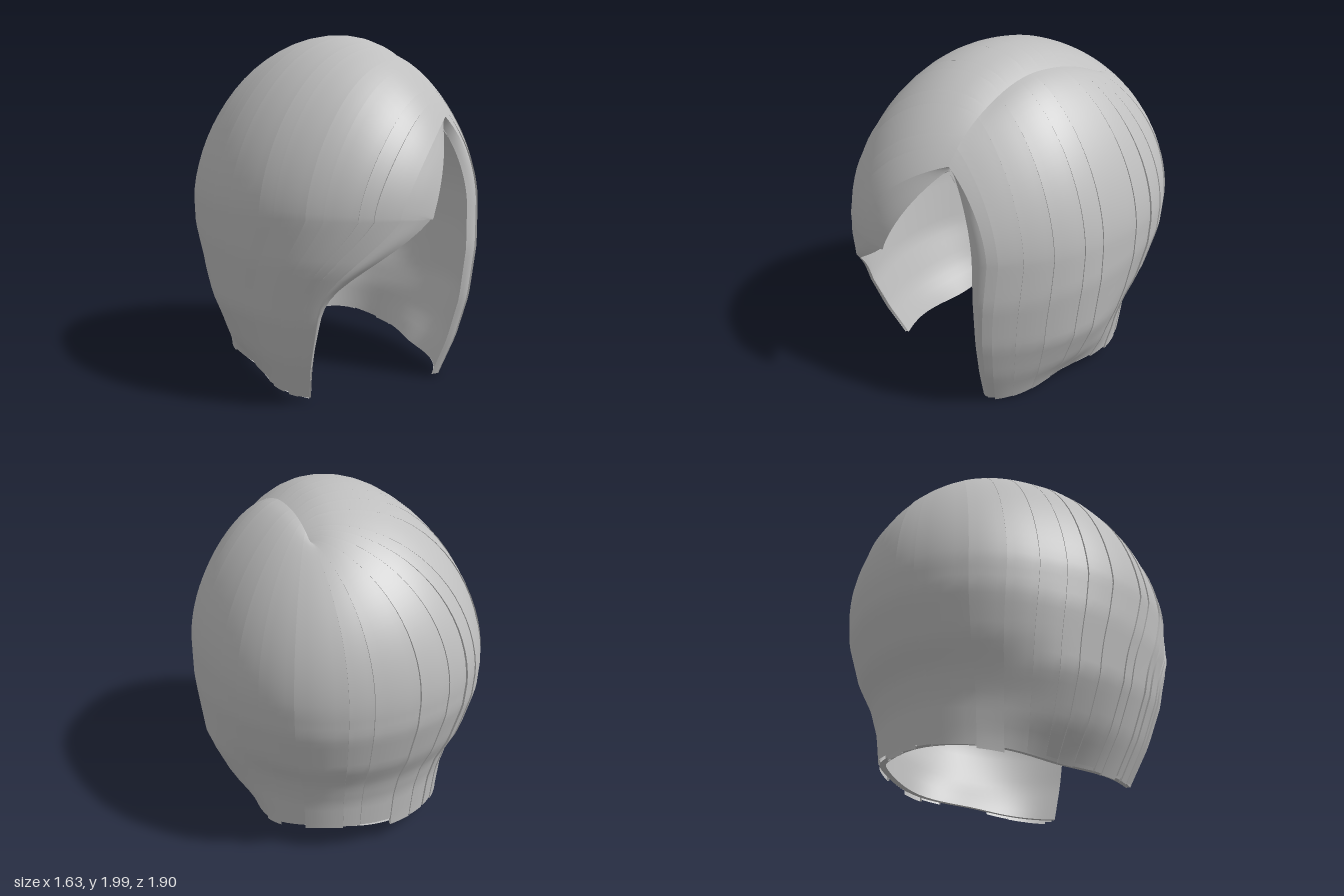
import * as THREE from 'three';

// Guide strands round the head: [root z on the parting, angle at the widest height, angle at the tip]
// The first and last guides are the turned-in edges of the face opening.
const GUIDES = [
  [0.64, 43, 43], [0.64, 49, 46], [0.43, 62, 59], [0.2, 80, 78], [0, 97, 97], [-0.2, 116, 116],
  [-0.33, 138, 138], [-0.4, 160, 160], [-0.4, 184, 183], [-0.36, 208, 206], [-0.3, 230, 230],
  [-0.2, 252, 250], [-0.06, 270, 267], [0.1, 288, 281], [0.25, 305, 292], [0.4, 322, 303],
  [0.54, 338, 310], [0.64, 351.4, 315], [0.64, 365, 314],
];
const LAST = GUIDES.length - 1;
const guideCurve = new THREE.CatmullRomCurve3(
  GUIDES.map((g) => new THREE.Vector3(...g)), false, 'catmullrom', 0.5);

const WAIST = 1.05; // height of the widest ring
// Ring size by height below the waist: [y, scale]
const FRONT = [[1.05, 1], [0.8, 1], [0.5, 0.955], [0.25, 0.87], [0.03, 0.76], [-0.1, 0.7]];
const SIDE = [[1.05, 1], [0.85, 1], [0.5, 0.945], [0.25, 0.81], [0.1, 0.68], [-0.1, 0.55]];
const BACK = [[1.05, 1], [0.9, 0.99], [0.65, 0.915], [0.5, 0.835], [0.35, 0.79], [0.15, 0.765], [-0.1, 0.75]];
const { lerp, clamp, smoothstep, degToRad } = THREE.MathUtils;

function lookup(table, y) {
  for (let i = 1; i < table.length; i++) {
    const [y0, r0] = table[i - 1], [y1, r1] = table[i];
    if (y >= y1) return lerp(r0, r1, (y0 - y) / (y0 - y1));
  }
  return table[table.length - 1][1];
}

// Plan outline: an ellipse, fuller at the back and flatter beside the face
function fullness(a) {
  const k = 0.05 * Math.sin(2 * a) ** 2;
  if (Math.cos(a) < 0) return 1 + k;
  return Math.sin(a) > 0 ? 1 - k : 1;
}
function ring(a, r) {
  const k = fullness(a) * r;
  return [0.81 * k * Math.sin(a), 0.95 * k * Math.cos(a)];
}

// Crown height over a plan position, fullest at the back
function crownHeight(x, z) {
  const a = Math.atan2(x / 0.81, z / 0.95);
  const rho = Math.hypot(x / 0.81, z / 0.95) / fullness(a);
  const power = lerp(x > 0 ? 0.57 : 0.63, z > 0 ? 0.57 : 0.49, Math.cos(a) ** 2);
  return WAIST + 0.95 * Math.max(0, 1 - rho * rho) ** power;
}

// Point on the hair: u runs round the head, v from parting to tip, k scales in or out
function hairPoint(u, v, k = 1, trim = 0) {
  const g = guideCurve.getPoint(clamp(u / LAST, 0, 1));
  const waistAngle = degToRad(g.y), tipAngle = degToRad(g.z);
  let x, y, z;
  if (v < 0.5) {
    const s = Math.sin(v * Math.PI);
    const rootX = 0.28 + 0.13 * g.x * g.x;
    const [ex, ez] = ring(waistAngle, 1);
    const bow = 1 + 0.75 * smoothstep(g.y, 300, 355); // the fringe swings forward first
    x = lerp(rootX, ex, s);
    z = lerp(g.x, ez, 1 - (1 - s) ** bow);
    const groove = 0.025 * (1 - smoothstep(g.x, 0.3, 0.64));
    y = crownHeight(x, z) - groove * Math.exp(-Math.hypot(x - rootX, z - g.x) / 0.06);
  } else {
    const nape = 0.05 * Math.exp(-(((g.z - 148) / 22) ** 2));
    const tip = Math.max(0, 0.075 - 0.07 * Math.cos(tipAngle) + nape + trim);
    y = lerp(WAIST, tip, (v - 0.5) * 2);
    const t = clamp((WAIST - y) / 0.5, 0, 1);
    const sweep = 0.8 * (t + t * t - t ** 3) + 0.2 * clamp(1 - y / 0.6, 0, 1);
    const a = lerp(waistAngle, tipAngle, sweep);
    const ends = lookup(Math.cos(a) > 0 ? FRONT : BACK, y);
    [x, z] = ring(a, lerp(lookup(SIDE, y), ends, smoothstep(Math.abs(Math.cos(a)), 0, 0.65)));
  }
  const top = y > 0.8 ? 0.8 + (y - 0.8) * Math.min(k, 1) : y;
  return new THREE.Vector3(x * k, top, z * k);
}

// Lining surface, lying closer to the outside under the fringe
function innerPoint(u, v) {
  return hairPoint(u, v, lerp(0.95, 0.975, smoothstep(u, LAST - 3, LAST)));
}

// Smooth sheet from a rule f(s, t)
function sheet(f, cols, rows) {
  const pos = [], index = [];
  for (let j = 0; j <= rows; j++) {
    for (let i = 0; i <= cols; i++) pos.push(...f(i / cols, j / rows).toArray());
  }
  for (let j = 0; j < rows; j++) {
    for (let i = 0; i < cols; i++) {
      const a = j * (cols + 1) + i, c = a + cols + 1;
      index.push(a, c, a + 1, a + 1, c, c + 1);
    }
  }
  const geo = new THREE.BufferGeometry();
  geo.setAttribute('position', new THREE.Float32BufferAttribute(pos, 3));
  geo.setIndex(index);
  geo.computeVertexNormals();
  return geo;
}

function seeded(seed) {
  return () => (seed = (seed * 16807) % 2147483647) / 2147483647;
}

export function createModel() {
  const model = new THREE.Group();
  model.name = 'bobHair';
  const hair = new THREE.MeshStandardMaterial({ color: 0xbfbfbf, side: THREE.DoubleSide });
  hair.name = 'hairGrey';
  const add = (name, geo, parent = model) => {
    const mesh = new THREE.Mesh(geo, hair);
    mesh.name = name;
    parent.add(mesh);
  };

  // Overlapping locks, each raised along its leading edge
  const locks = new THREE.Group();
  locks.name = 'locks';
  model.add(locks);
  const rand = seeded(77);
  const COUNT = 28, first = 1, end = LAST - 1;
  const cuts = [];
  for (let i = 0; i <= COUNT; i++) {
    const jitter = i > 0 && i < COUNT ? (rand() - 0.5) * 0.7 : 0;
    cuts.push(first + (end - first) * (i + jitter) / COUNT);
  }
  for (let i = 0; i < COUNT; i++) {
    const u0 = cuts[i], u1 = cuts[i + 1];
    const trim = (rand() - 0.6) * 0.04;
    const lift = i === 0 ? 0 : 0.006 + rand() * 0.007;
    const raise = (s, v) => 1 + lift * (1 - s) * smoothstep(v, 0.03, 0.4);
    add('lock', sheet((s, v) => hairPoint(lerp(u0, u1, s), v, raise(s, v), trim), 4, 40), locks);
    if (i > 0) {
      add('lockEdge', sheet((s, v) =>
        hairPoint(u0, v, lerp(0.99, raise(0, v), s), trim), 1, 40), locks);
    }
  }

  // Inner lining, seen through the face opening and from below
  add('lining', sheet((s, v) => innerPoint(LAST * (1 - s), v), 90, 40));

  // Turned-in edges beside the face and under the fringe
  const edge = (uOut, uIn) => (s, v) => {
    const p = hairPoint(uOut, v).lerp(innerPoint(uIn, v), s);
    const bulge = 1 + 0.012 * Math.sin(Math.PI * s) * smoothstep(v, 0, 0.3);
    return p.set(p.x * bulge, p.y, p.z * bulge);
  };
  add('sideEdge', sheet((s, v) => edge(first, 0)(1 - s, v), 4, 40));
  add('fringeEdge', sheet(edge(end, LAST), 4, 40));

  // Hem closing the thickness at the tips
  add('hem', sheet((s, t) =>
    hairPoint(lerp(first, end, s), 1).lerp(innerPoint(lerp(0, LAST, s), 1), t), 90, 1));

  return model;
}
